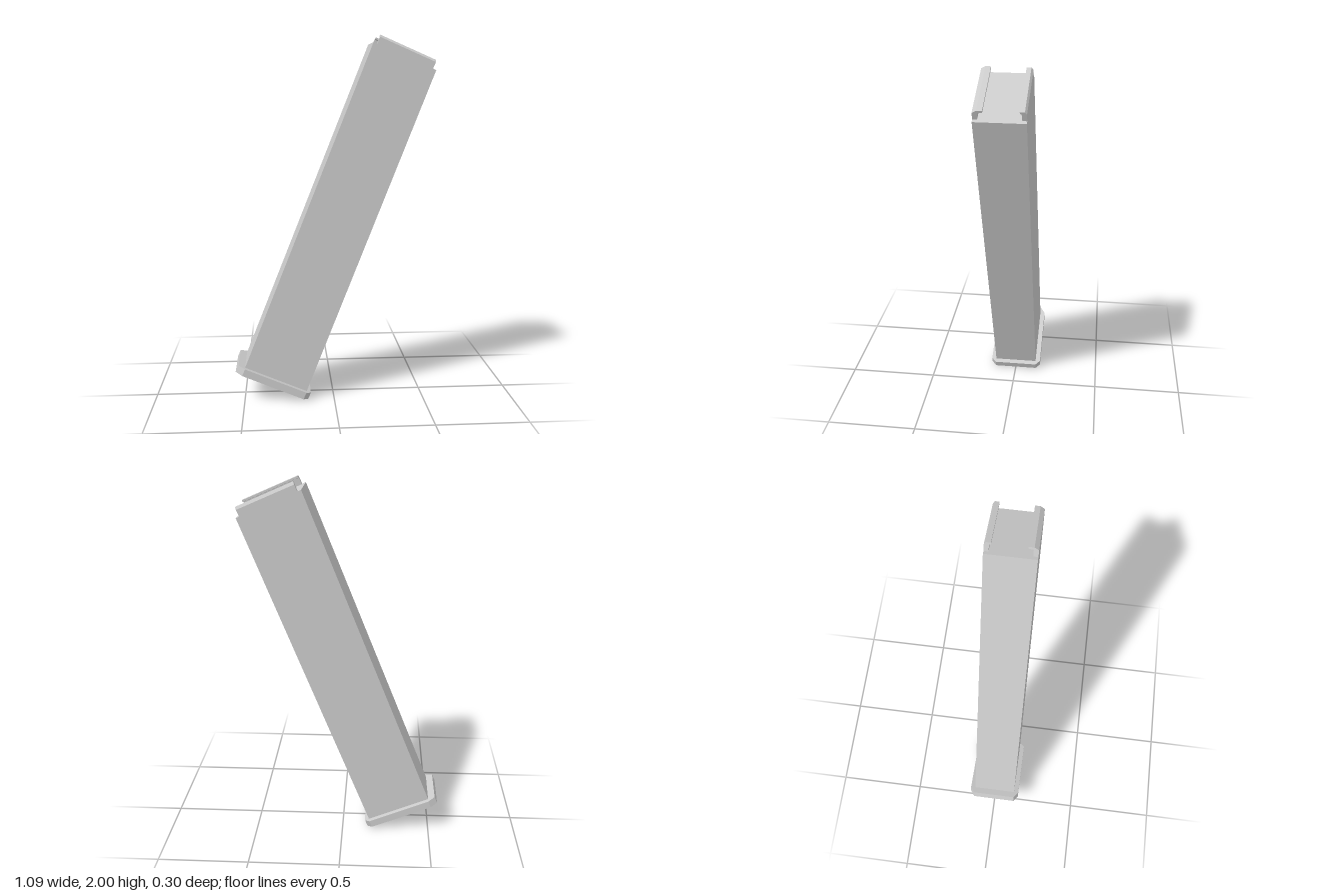
import * as THREE from 'three';

const material = new THREE.MeshStandardMaterial({ color: 0xcccccc, flatShading: true });

// Prism from a closed outline, extruded along +z
function prism(points, depth) {
  const shape = new THREE.Shape(points.map(([x, y]) => new THREE.Vector2(x, y)));
  return new THREE.ExtrudeGeometry(shape, { depth, bevelEnabled: false });
}

export function createModel() {
  const group = new THREE.Group();
  group.name = 'boxMagazine';

  // Everything is built upright, then the whole case leans over
  const leaning = new THREE.Group();
  leaning.name = 'leaningCase';
  leaning.rotation.z = -0.4067;
  group.add(leaning);

  const add = (name, geometry) => {
    const mesh = new THREE.Mesh(geometry, material);
    mesh.name = name;
    leaning.add(mesh);
  };

  const half = 0.124;

  // Long, slightly slanted body
  const body = prism([[-0.533, -0.02], [-0.162, -0.02], [-0.225, 1.883], [-0.588, 1.883]], half * 2);
  body.translate(0, 0, -half);
  add('body', body);

  // Base plate with four cut corners, wider than the body
  const w = 0.151, n = 0.125;
  const plate = prism([
    [-0.573, -n], [-0.533, -w], [-0.165, -w], [-0.137, -n],
    [-0.137, n], [-0.165, w], [-0.533, w], [-0.573, n],
  ], 0.041);
  plate.rotateX(-Math.PI / 2);
  plate.translate(0, -0.055, 0);
  add('basePlate', plate);

  // Feed lips: thin walls folded inward at the top
  const lips = [
    { name: 'frontFeedLip', side: 1, inner: 0.076, bend: 0.103 },
    { name: 'backFeedLip', side: -1, inner: 0.092, bend: 0.115 },
  ];
  for (const { name, side, inner, bend } of lips) {
    const profile = [
      [half, 1.875], [half, 1.92], [bend, 1.933], [inner, 1.933],
      [inner, 1.923], [0.1, 1.92], [0.102, 1.875],
    ].map(([z, y]) => [-side * z, y]);
    const lip = prism(profile, 0.323);
    lip.rotateY(Math.PI / 2);
    lip.translate(-0.567, 0, 0);
    add(name, lip);
  }

  return group;
}
